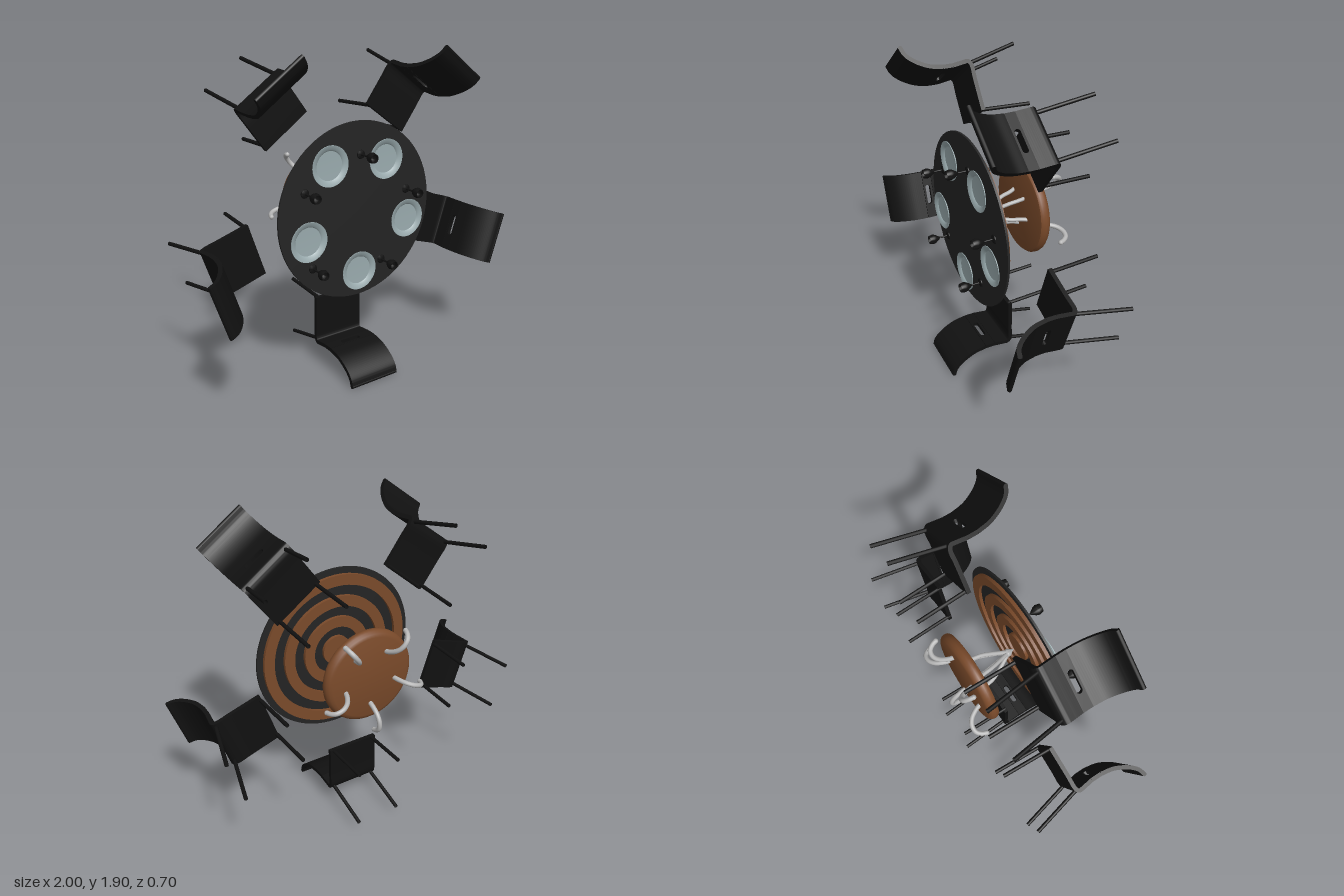
import * as THREE from 'three';
import { toCreasedNormals } from 'three/addons/utils/BufferGeometryUtils.js';

const mat = (color) => new THREE.MeshStandardMaterial({ color, side: THREE.DoubleSide });
const BLACK = mat(0x111111), TOP = mat(0x242424), WOOD = mat(0x7a4a2a);
const STEEL = mat(0xb4b4b4), CHINA = mat(0x9aabae);
const V2 = (p) => new THREE.Vector2(p[0], p[1]);
const V3 = (p) => new THREE.Vector3(p[0], p[1], p[2]);

function add(parent, name, geometry, material) {
  const mesh = new THREE.Mesh(geometry, material);
  mesh.name = name;
  parent.add(mesh);
  return mesh;
}

// Lathe around the z axis, profile given as [radius, z]
function turned(profile, segments = 48) {
  const g = new THREE.LatheGeometry(profile.map(V2), segments).rotateX(Math.PI / 2);
  return toCreasedNormals(g, 0.6);
}

// Bent sheet: a [z, y] centre line given thickness, extruded along x
function sheet(points, thickness, width) {
  const curve = new THREE.CatmullRomCurve3(points.map(([z, y]) => new THREE.Vector3(z, y, 0)));
  const n = 28, a = [], b = [];
  for (let i = 0; i <= n; i++) {
    const p = curve.getPoint(i / n), t = curve.getTangent(i / n);
    const ox = -t.y * thickness / 2, oy = t.x * thickness / 2;
    a.push(new THREE.Vector2(p.x + ox, p.y + oy));
    b.unshift(new THREE.Vector2(p.x - ox, p.y - oy));
  }
  const g = new THREE.ExtrudeGeometry(new THREE.Shape([...a, ...b]), { depth: width, bevelEnabled: false });
  return toCreasedNormals(g.translate(0, 0, -width / 2).rotateY(-Math.PI / 2), 0.6);
}

function rod(from, to, radius) {
  return new THREE.TubeGeometry(new THREE.LineCurve3(V3(from), V3(to)), 1, radius, 10);
}

// Chair with its feet toward -z and its back toward -y of the table centre
function makeChair() {
  const chair = new THREE.Group();
  chair.name = 'chair';
  const W = 0.32, T = 0.024;
  add(chair, 'seat', sheet([[-0.046, -0.57], [-0.046, -0.75], [-0.046, -0.84],
    [-0.033, -0.858], [0, -0.856], [0.06, -0.848]], T, W), BLACK);
  add(chair, 'upperBackrest', sheet([[0.12, -0.848], [0.2, -0.864], [0.28, -0.907],
    [0.322, -0.95], [0.335, -0.988]], T, W), BLACK);

  // Middle of the backrest with the rounded grip slot
  const panel = new THREE.Shape([[-W / 2, 0.06], [W / 2, 0.06], [W / 2, 0.12], [-W / 2, 0.12]].map(V2));
  const slot = new THREE.Path();
  slot.absarc(0.05, 0.091, 0.016, -Math.PI / 2, Math.PI / 2, false);
  slot.absarc(-0.05, 0.091, 0.016, Math.PI / 2, Math.PI * 1.5, false);
  panel.holes.push(slot);
  const g = new THREE.ExtrudeGeometry(panel, { depth: T, bevelEnabled: false, curveSegments: 8 });
  add(chair, 'slottedBackrest', toCreasedNormals(g.translate(0, 0, -T / 2).rotateX(Math.PI / 2)
    .translate(0, -0.848, 0), 0.6), BLACK);

  // Rounded top edge of the backrest
  add(chair, 'backrestEdge', new THREE.CylinderGeometry(0.0125, 0.0125, W, 12)
    .rotateZ(Math.PI / 2).translate(0, -0.987, 0.335), BLACK);

  for (const s of [-1, 1]) {
    add(chair, 'frontLeg', rod([s * 0.135, -0.578, -0.04], [s * 0.135, -0.563, -0.348], 0.011), BLACK);
    add(chair, 'rearLeg', rod([s * 0.135, -0.85, -0.04], [s * 0.135, -0.925, -0.348], 0.011), BLACK);
  }
  return chair;
}

export function createModel() {
  const model = new THREE.Group();
  model.name = 'diningSet';
  const set = new THREE.Group();
  set.name = 'tableAndChairs';
  set.position.y = 1;
  model.add(set);

  // Table top with concentric wooden rings beneath
  add(set, 'tableTop', turned([[0, 0.145], [0.512, 0.145], [0.512, 0.157], [0, 0.157]], 72), TOP);
  for (const [inner, outer] of [[0.41, 0.475], [0.28, 0.345], [0.15, 0.215], [0, 0.09]]) {
    add(set, 'woodRing', turned([[inner, 0.125], [outer, 0.125], [outer, 0.146],
      [inner, 0.146], [inner, 0.125]], 64), WOOD);
  }

  // Rounded wooden base and steel hub
  add(set, 'base', turned([[0, -0.24], [0.245, -0.24], [0.263, -0.234], [0.275, -0.221], [0.28, -0.205],
    [0.278, -0.188], [0.268, -0.176], [0.25, -0.172], [0, -0.172]], 64), WOOD);
  add(set, 'hub', turned([[0, 0.015], [0.012, 0.025], [0.014, 0.04], [0.022, 0.05], [0.025, 0.06],
    [0.021, 0.072], [0.01, 0.085], [0, 0.103]], 24), STEEL);

  // Five-fold parts: bent steel struts, hooked feet and chairs
  const strut = [[0, -0.01, 0.05], [0, -0.03, 0.015], [0, -0.06, -0.04], [0, -0.083, -0.09],
    [0, -0.095, -0.14], [0, -0.115, -0.19]];
  const foot = [[0, -0.165, -0.22], [0, -0.178, -0.265], [0, -0.21, -0.315], [0, -0.25, -0.338],
    [0, -0.29, -0.335], [0, -0.315, -0.31], [0, -0.325, -0.285]];
  for (let i = 0; i < 5; i++) {
    const sector = new THREE.Group();
    sector.name = 'place';
    sector.rotation.z = i * Math.PI * 2 / 5;
    set.add(sector);
    sector.add(makeChair());
    const tube = (pts, r) => new THREE.TubeGeometry(new THREE.CatmullRomCurve3(pts.map(V3)), 28, r, 10);
    add(sector, 'strut', tube(strut, 0.012), STEEL);
    add(sector, 'foot', tube(foot, 0.014), STEEL);
    add(sector, 'footTip', new THREE.SphereGeometry(0.0145, 12, 8).translate(0, -0.325, -0.285), STEEL);
  }

  // Plates
  const plate = turned([[0, 0.158], [0.065, 0.158], [0.085, 0.165], [0.115, 0.178], [0.115, 0.182],
    [0.09, 0.176], [0.082, 0.168], [0, 0.166]], 40);
  for (const [x, y] of [[0, -0.355], [-0.335, -0.113], [0.343, -0.1], [-0.195, 0.29], [0.18, 0.28]]) {
    add(set, 'plate', plate, CHINA).position.set(x, y, 0);
  }

  // Stemmed glasses
  const glass = turned([[0, 0.157], [0.026, 0.157], [0.024, 0.162], [0.006, 0.168], [0.005, 0.215],
    [0.012, 0.225], [0.024, 0.243], [0.03, 0.26], [0.025, 0.285], [0.022, 0.285], [0.026, 0.26],
    [0.018, 0.242], [0, 0.228]], 24);
  for (const [x, y] of [[0.02, 0.323], [-0.345, 0.157], [0.348, 0.073], [-0.3, -0.283], [0.173, -0.33]]) {
    add(set, 'glass', glass, BLACK).position.set(x, y, 0);
  }
  return model;
}
